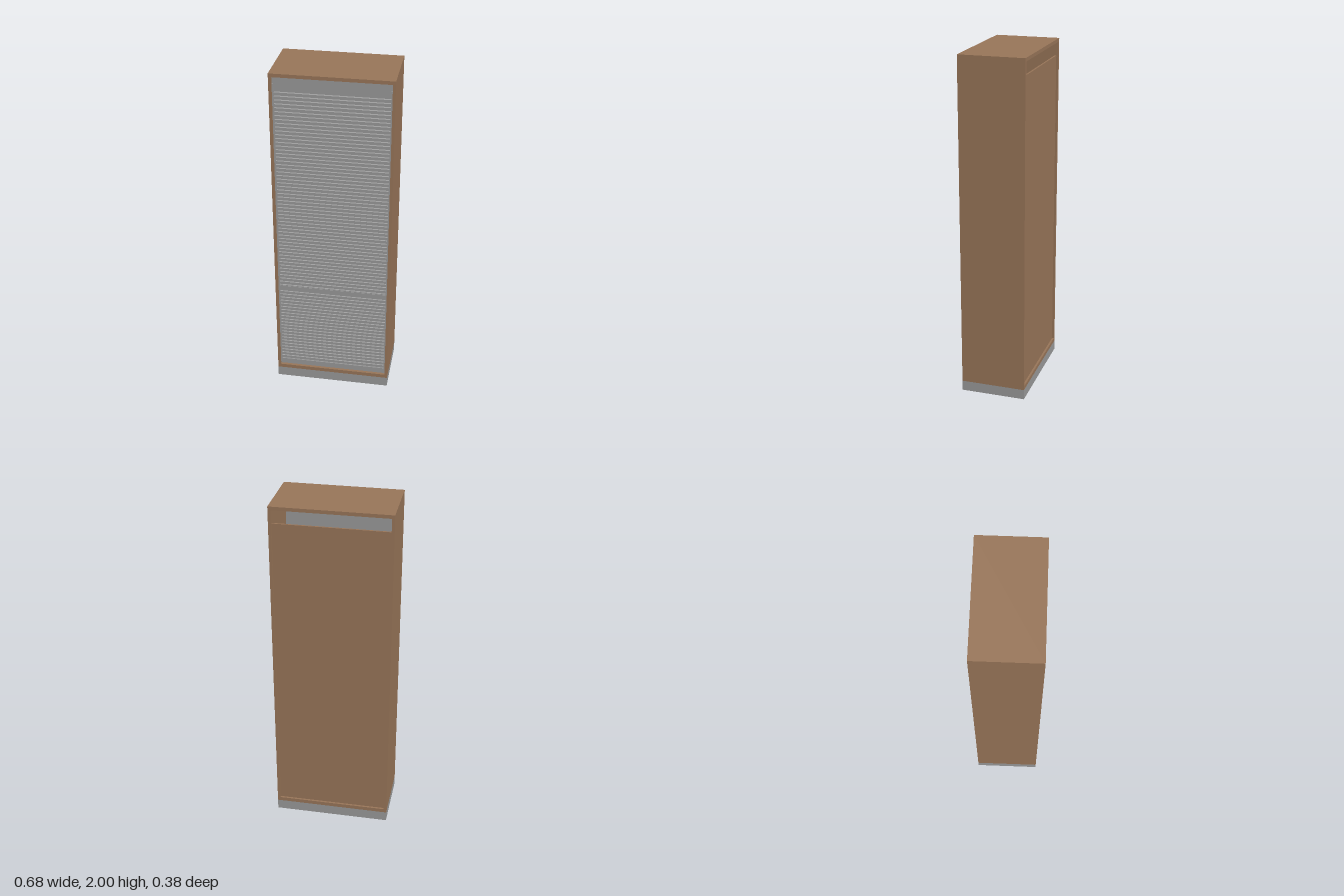
import * as THREE from 'three';
import { mergeGeometries } from 'three/addons/utils/BufferGeometryUtils.js';

const wood = new THREE.MeshStandardMaterial({ color: 0x997659 });
wood.name = 'brown wood';
const metal = new THREE.MeshStandardMaterial({ color: 0x9a9a9a });
metal.name = 'grey metal';

const W = 0.34, D = 0.19, H = 2, PLINTH = 0.06, T = 0.016;

export function createModel() {
  const cabinet = new THREE.Group();
  cabinet.name = 'shutterCabinet';

  const add = (name, geometry, material) => {
    const mesh = new THREE.Mesh(geometry, material);
    mesh.name = name;
    cabinet.add(mesh);
    return mesh;
  };
  // Box given by its limits on each axis
  const box = (name, material, x0, x1, y0, y1, z0, z1) =>
    add(name, new THREE.BoxGeometry(x1 - x0, y1 - y0, z1 - z0), material)
      .position.set((x0 + x1) / 2, (y0 + y1) / 2, (z0 + z1) / 2);

  // Carcass: top, bottom, sides and recessed back that stops short of the top
  const inner = W - T;
  box('topPanel', wood, -W, W, H - 0.02, H, -D, D);
  box('bottomPanel', wood, -inner, inner, PLINTH, 0.083, -D, D);
  for (const s of [-1, 1]) {
    const a = s * inner, b = s * W;
    box(s > 0 ? 'leftSide' : 'rightSide', wood,
      Math.min(a, b), Math.max(a, b), PLINTH, H - 0.02, -D, D);
  }
  box('backPanel', wood, -inner, inner, 0.083, 1.9, -0.178, -0.168);

  // Hollow plinth frame, open underneath
  const rect = (path, x, z) =>
    path.moveTo(-x, -z).lineTo(x, -z).lineTo(x, z).lineTo(-x, z).closePath();
  const frame = rect(new THREE.Shape(), W, D);
  frame.holes.push(rect(new THREE.Path(), W - T, D - T));
  const plinth = new THREE.ExtrudeGeometry(frame, { depth: PLINTH, bevelEnabled: false });
  add('plinth', plinth.rotateX(-Math.PI / 2), metal);

  // Shutter housing and side guides
  box('shutterHeader', metal, -inner, inner, 1.91, H - 0.02, 0.155, 0.174);
  for (const s of [-1, 1]) {
    const x = s * (inner - 0.004);
    box(s > 0 ? 'leftGuide' : 'rightGuide', metal,
      x - 0.004, x + 0.004, 0.083, 1.94, 0.153, 0.178);
  }

  // Roller shutter: chamfered slats between the bottom rail and the header
  const half = inner - 0.008, bottom = 0.118, top = 1.912, count = 79;
  const pitch = (top - bottom) / count, back = 0.157, face = 0.17;
  const profile = new THREE.Shape();
  profile.moveTo(-back, 0).lineTo(-back, pitch).lineTo(-0.163, pitch)
    .lineTo(-face, pitch - 0.003).lineTo(-face, 0.003).lineTo(-0.163, 0).closePath();
  const slat = new THREE.ExtrudeGeometry(profile, { depth: 2 * half, bevelEnabled: false });
  slat.translate(0, 0, -half).rotateY(Math.PI / 2);
  const slats = [];
  for (let i = 0; i < count; i++) slats.push(slat.clone().translate(0, bottom + i * pitch, 0));
  add('shutterSlats', mergeGeometries(slats), metal);

  // Bottom rail and grip strip of the shutter
  box('shutterBottomRail', metal, -half, half, 0.083, bottom, back, 0.174);
  box('shutterGrip', metal, -half, half, 0.625, 0.655, back, 0.173);

  return cabinet;
}
